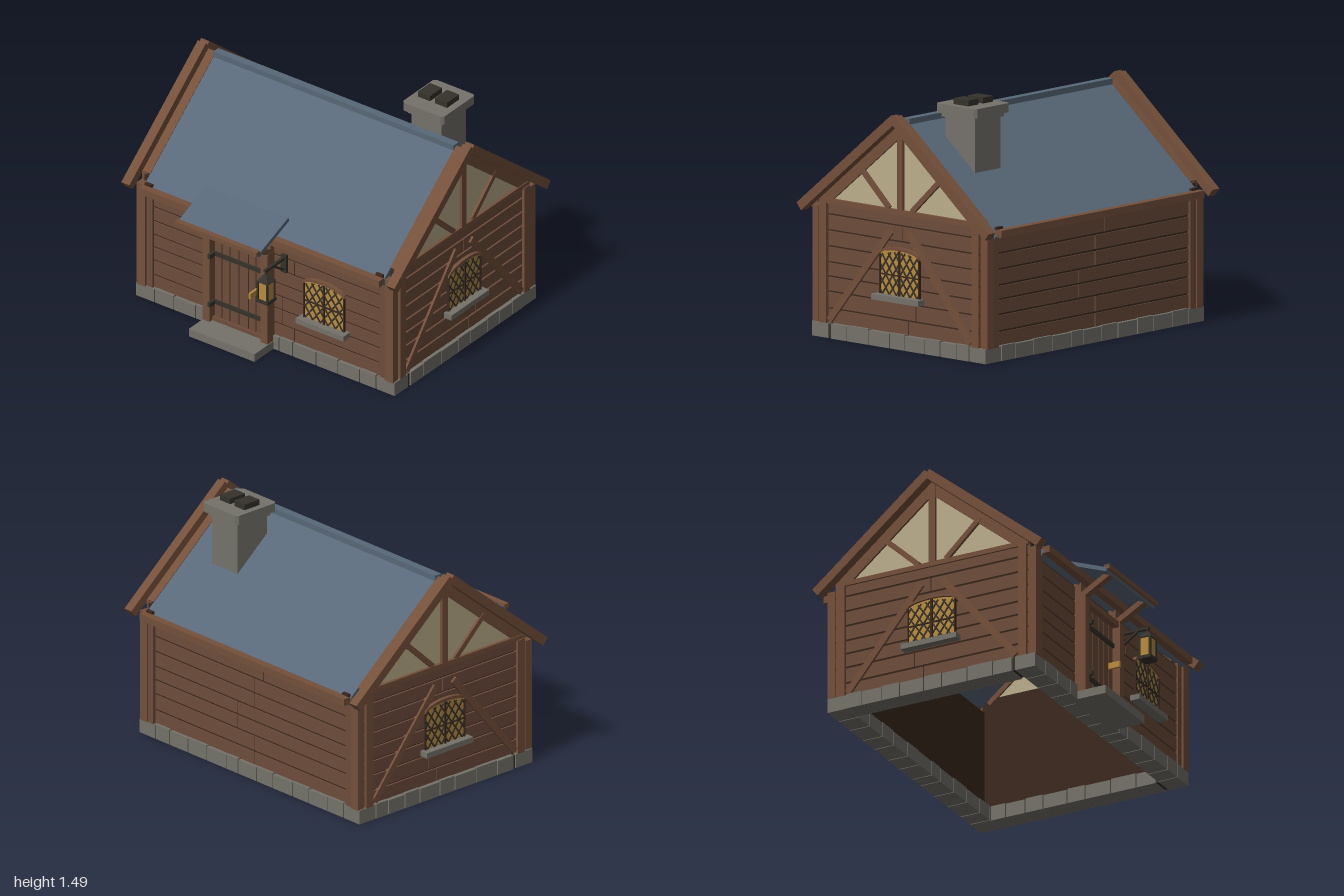
import * as THREE from 'three';

const mat = (name, color) => Object.assign(new THREE.MeshStandardMaterial({ color }), { name });
const M = {
  slate: mat('slate blue', 0x586878),
  plank: mat('plank brown', 0x6d4c3a),
  timber: mat('timber brown', 0x74503b),
  gap: mat('dark wood', 0x3b291f),
  stone: mat('stone grey', 0x74726a),
  plaster: mat('cream plaster', 0xbcae8c),
  glass: mat('amber glass', 0xb98a3e),
  iron: mat('black iron', 0x35322b),
};
const MID = -0.09;                       // z of the ridge
const SLOPE = Math.atan(0.816);          // roof pitch

function group(name, parent) {
  const g = new THREE.Group();
  g.name = name;
  parent.add(g);
  return g;
}
function add(parent, name, geo, material, x = 0, y = 0, z = 0) {
  const m = new THREE.Mesh(geo, material);
  m.name = name;
  m.position.set(x, y, z);
  parent.add(m);
  return m;
}
// box given by its extents on each axis
function box(parent, name, material, x0, x1, y0, y1, z0, z1) {
  return add(parent, name, new THREE.BoxGeometry(x1 - x0, y1 - y0, z1 - z0), material,
    (x0 + x1) / 2, (y0 + y1) / 2, (z0 + z1) / 2);
}
// beam lying in a plane of constant x, between two (z, y) points
function beam(parent, name, material, x, w, z1, y1, z2, y2, t) {
  const m = add(parent, name, new THREE.BoxGeometry(w, t, Math.hypot(z2 - z1, y2 - y1)), material,
    x, (y1 + y2) / 2, (z1 + z2) / 2);
  m.rotation.x = Math.atan2(y1 - y2, z2 - z1);
  return m;
}
// pitched slab hanging below the roof line that starts at height top over the ridge
function pitched(parent, name, material, side, x, w, top, t, s0, s1) {
  const c = Math.cos(SLOPE), s = Math.sin(SLOPE);
  const at = (d) => [MID + side * (d * c - s * t / 2), top - d * s - c * t / 2];
  return beam(parent, name, material, x, w, ...at(s0), ...at(s1), t);
}

// horizontal boards facing local +z, some rows split by a joint
function plankWall(parent, name, width, rows, joints) {
  const g = group(name, parent), gap = 0.006;
  for (let i = 0; i + 1 < rows.length; i++) {
    const cuts = [-width / 2, ...(joints[i] === undefined ? [] : [joints[i]]), width / 2];
    for (let k = 0; k + 1 < cuts.length; k++)
      box(g, 'plank', M.plank, cuts[k] + gap / 2, cuts[k + 1] - gap / 2,
        rows[i] + gap, rows[i + 1] - gap, -0.015, 0);
  }
  return g;
}

// arched leaded window facing local +z, standing on y = 0
function windowUnit(parent, hw) {
  const g = group('window', parent), side = 0.235, rise = 0.035;
  const arch = (x, r = rise, w = hw) => side + r * Math.sqrt(Math.max(0, 1 - (x / w) ** 2));
  const edge = [];
  for (let i = 0; i <= 12; i++) edge.push(-Math.cos(i / 12 * Math.PI));
  const pane = new THREE.Shape([[-hw, 0], ...edge.map((e) => [e * hw, arch(e * hw)]), [hw, 0]]
    .map((p) => new THREE.Vector2(...p)));
  add(g, 'glass', new THREE.ExtrudeGeometry(pane, { depth: 0.008, bevelEnabled: false }), M.glass);
  // arched head trim
  const ow = hw + 0.012;
  const head = new THREE.Shape([
    ...edge.map((e) => [e * ow, arch(e * ow, rise + 0.02, ow)]),
    ...edge.slice().reverse().map((e) => [e * hw, arch(e * hw)]),
  ].map((p) => new THREE.Vector2(...p)));
  add(g, 'windowHead', new THREE.ExtrudeGeometry(head, { depth: 0.022, bevelEnabled: false }), M.timber);
  // diagonal lead bars clipped to the pane
  const run = 0.7;
  for (const dir of [-1, 1]) for (let c = -10; c <= 10; c++) {
    const ts = [];
    for (let t = 0; t <= 0.27; t += 0.004) {
      const x = dir * ((c + 0.5) * 0.055 + t * run);
      if (Math.abs(x) < hw && t < arch(x) - 0.012) ts.push(t);
    }
    if (ts.length < 3) continue;
    const a = ts[0], b = ts[ts.length - 1], xm = dir * ((c + 0.5) * 0.055 + (a + b) / 2 * run);
    const bar = add(g, 'leadBar', new THREE.BoxGeometry(0.009, (b - a) * Math.hypot(1, run), 0.006),
      M.iron, xm, (a + b) / 2, 0.01);
    bar.rotation.z = -dir * Math.atan(run);
  }
  box(g, 'mullion', M.gap, -0.006, 0.006, 0, side + rise, 0.005, 0.018);
  box(g, 'transom', M.gap, -hw, hw, 0.115, 0.123, 0.005, 0.016);
  for (const s of [-1, 1]) box(g, 'jamb', M.gap, s * hw - 0.004, s * hw + 0.004, 0, side, 0, 0.016);
  box(g, 'windowSill', M.stone, -hw - 0.03, hw + 0.03, -0.034, 0, -0.01, 0.055);
  return g;
}

export function createModel() {
  const model = new THREE.Group();
  model.name = 'cottage';

  // stone footing of separate blocks around an open floor
  const base = group('footing', model);
  const xs = [-0.95, -0.81, -0.67, -0.51, -0.37, -0.2, -0.06, 0.1, 0.2, 0.37, 0.53, 0.69, 0.81, 0.95];
  const zs = [-0.78, -0.65, -0.55, -0.42, -0.3, -0.14, -0.02, 0.15, 0.32, 0.45, 0.6];
  for (let i = 0; i + 1 < xs.length; i++) for (const [a, b] of [[0.47, 0.6], [-0.78, -0.65]])
    box(base, 'footingStone', M.stone, xs[i] + 0.003, xs[i + 1] - 0.003, 0, 0.088 + 0.005 * (i % 2), a, b);
  for (let i = 1; i + 2 < zs.length; i++) for (const s of [-1, 1])
    box(base, 'footingStone', M.stone, s * 0.885 - 0.065, s * 0.885 + 0.065, 0, 0.088 + 0.005 * (i % 2), zs[i] + 0.003, zs[i + 1] - 0.003);
  for (const s of [-1, 1]) {
    box(base, 'mortar', M.iron, -0.94, 0.94, 0.004, 0.08, MID + s * 0.62 - 0.055, MID + s * 0.62 + 0.055);
    box(base, 'mortar', M.iron, s * 0.885 - 0.055, s * 0.885 + 0.055, 0.004, 0.08, -0.7, 0.52);
  }

  // wall core, showing as dark seams between the boards
  for (const s of [-1, 1]) {
    box(model, 'longWallCore', M.gap, -0.91, 0.91, 0.08, 0.74, MID + s * 0.65 - 0.015, MID + s * 0.65 + 0.015);
    box(model, 'endWallCore', M.gap, s * 0.9 - 0.015, s * 0.9 + 0.015, 0.08, 0.82, -0.74, 0.56);
  }
  const rows = [0.085, 0.175, 0.275, 0.365, 0.45, 0.545, 0.64, 0.735];
  plankWall(model, 'frontPlanks', 1.82, rows, [0.2, 0.11, 0.11, , , 0.2]).position.z = 0.582;
  const back = plankWall(model, 'backPlanks', 1.82, rows, [0.02, 0.02, -0.12, -0.12, 0.02, 0.02, 0.1]);
  back.position.z = -0.762;
  back.rotation.y = Math.PI;

  // corner posts on the long walls
  for (const s of [-1, 1]) for (const f of [-1, 1]) {
    const z = MID + f * 0.67;
    box(model, 'cornerPost', M.timber, s * 0.908 - 0.03, s * 0.908 + 0.03, 0.085, 0.78, z - 0.025, z + 0.025);
    box(model, 'innerPost', M.plank, s * 0.853 - 0.023, s * 0.853 + 0.023, 0.085, 0.75, z - 0.02, z + 0.012);
  }

  // end walls with half-timbered gables
  for (const s of [-1, 1]) {
    const end = group(s > 0 ? 'leftEnd' : 'rightEnd', model);
    const boards = plankWall(end, 'endPlanks', 1.3, [...rows, 0.81], [s * 0.06, s * 0.12, , , , , s * 0.01]);
    boards.position.set(s * 0.928, 0, MID);
    boards.rotation.y = s * Math.PI / 2;
    const tri = new THREE.Shape([[-0.62, 0.8], [0.62, 0.8], [0, 1.31]].map((p) => new THREE.Vector2(...p)));
    const panel = add(end, 'gablePanel', new THREE.ExtrudeGeometry(tri, { depth: 0.03, bevelEnabled: false }),
      M.plaster, s * 0.89, 0, MID);
    panel.rotation.y = s * Math.PI / 2;
    const bar = (name, y0, y1, hw, out) =>
      box(end, name, M.timber, s * 0.92 - 0.02, s * 0.92 + out * 0.02 + 0.0, y0, y1, MID - hw, MID + hw);
    bar('tieBeam', 0.8, 0.83, 0.64, 1);
    bar('kingPost', 0.83, 1.34, 0.022, 1);
    for (const f of [-1, 1]) {
      const z = MID + f * 0.605;
      box(end, 'sidePost', M.timber, s * 0.925 - 0.022, s * 0.925 + 0.022, 0.085, 0.805, z - 0.028, z + 0.028);
      beam(end, 'wallBrace', M.timber, s * 0.928, 0.03, MID + f * 0.56, 0.105, MID + f * 0.07, 0.7, 0.042);
      beam(end, 'gableBrace', M.timber, s * 0.92, 0.036, MID + f * 0.09, 0.83, MID + f * 0.32, 1.045, 0.032);
      pitched(end, 'rafter', M.timber, f, s * 0.906, 0.056, 1.36, 0.075, 0, 0.83);
      pitched(end, 'bargeBoard', M.timber, f, s * 0.97, 0.06, 1.413, 0.055, 0.02, 0.985);
      box(end, 'rafterPeg', M.gap, s * 0.845 - 0.025, s * 0.845 + 0.025, 0.785, 0.807, MID + f * 0.7 - 0.01, MID + f * 0.7 + 0.01);
    }
    const win = windowUnit(end, 0.155);
    win.position.set(s * 0.929, 0.318, MID);
    win.rotation.y = s * Math.PI / 2;
  }

  // roof
  for (const f of [-1, 1]) {
    pitched(model, 'roofSlope', M.slate, f, 0, 1.76, 1.355, 0.04, 0, 0.93);
    const z = MID + f * 0.729;
    box(model, 'fascia', M.timber, -0.88, 0.88, 0.75, 0.793, z - 0.024, z + 0.024);
  }
  box(model, 'ridgeCap', M.slate, -0.88, 0.88, 1.335, 1.37, MID - 0.025, MID + 0.025);

  // chimney
  const chimney = group('chimney', model);
  box(chimney, 'stack', M.stone, 0.46, 0.68, 0.95, 1.38, -0.45, -0.215);
  box(chimney, 'collar', M.stone, 0.445, 0.695, 1.37, 1.396, -0.465, -0.2);
  const slab = new THREE.Shape([[-0.15, -0.145], [-0.135, -0.16], [0.135, -0.16], [0.15, -0.145],
    [0.15, 0.145], [0.135, 0.16], [-0.135, 0.16], [-0.15, 0.145]].map((p) => new THREE.Vector2(...p)));
  add(chimney, 'chimneyCap', new THREE.ExtrudeGeometry(slab, { depth: 0.055, bevelEnabled: false }),
    M.stone, 0.57, 1.395, -0.332).rotation.x = -Math.PI / 2;
  for (const x of [0.505, 0.63]) box(chimney, 'flue', M.iron, x - 0.044, x + 0.044, 1.44, 1.485, -0.393, -0.275);

  // door, frame and step
  const door = group('door', model);
  box(door, 'doorBack', M.gap, -0.37, 0, 0.06, 0.64, 0.57, 0.592);
  const cuts = [-0.365, -0.31, -0.25, -0.185, -0.115, -0.06, -0.005];
  for (let i = 0; i < 6; i++)
    box(door, 'doorPlank', M.plank, cuts[i] + 0.004, cuts[i + 1] - 0.004, 0.075, 0.625, 0.59, 0.61);
  for (const y of [0.18, 0.51]) box(door, 'hingeStrap', M.iron, -0.36, -0.005, y - 0.014, y + 0.014, 0.61, 0.62);
  for (const y of [0.18, 0.51]) box(door, 'hingePin', M.iron, -0.372, -0.352, y - 0.014, y + 0.014, 0.6, 0.67);
  box(door, 'handle', M.glass, -0.06, -0.045, 0.34, 0.378, 0.61, 0.685);
  for (const x of [-0.395, 0.03]) box(door, 'doorPost', M.timber, x - 0.025, x + 0.025, 0.045, 0.66, 0.57, 0.652);
  box(door, 'lintel', M.timber, -0.42, 0.055, 0.63, 0.665, 0.57, 0.645);
  box(door, 'threshold', M.plank, -0.37, 0.005, 0.045, 0.075, 0.58, 0.625);
  box(model, 'doorStep', M.stone, -0.42, 0.06, 0, 0.052, 0.56, 0.785);

  // porch canopy
  const porch = group('porch', model);
  beam(porch, 'porchRoof', M.slate, -0.18, 0.6, 0.53, 0.877, 0.825, 0.765, 0.025);
  box(porch, 'porchBeam', M.timber, -0.48, 0.12, 0.768, 0.797, 0.81, 0.845);
  for (const x of [-0.395, 0.03]) {
    beam(porch, 'porchBracket', M.timber, x, 0.045, 0.6, 0.655, 0.815, 0.778, 0.035);
    box(porch, 'bracketPost', M.timber, x - 0.022, x + 0.022, 0.66, 0.75, 0.57, 0.62);
  }

  // front window
  windowUnit(model, 0.145).position.set(0.432, 0.305, 0.592);

  // hanging lantern on an iron bracket
  const lantern = group('lantern', model), lx = 0.132, lz = 0.768;
  box(lantern, 'wallPlate', M.iron, lx - 0.02, lx + 0.02, 0.55, 0.67, 0.58, 0.6);
  box(lantern, 'arm', M.iron, lx - 0.009, lx + 0.009, 0.638, 0.656, 0.59, 0.78);
  beam(lantern, 'armBrace', M.iron, lx, 0.014, 0.6, 0.57, 0.7, 0.642, 0.014);
  box(lantern, 'hanger', M.iron, lx - 0.006, lx + 0.006, 0.61, 0.645, lz - 0.006, lz + 0.006);
  add(lantern, 'lanternRoof', new THREE.CylinderGeometry(0.014, 0.06, 0.045, 4).rotateY(Math.PI / 4).toNonIndexed(),
    M.iron, lx, 0.598, lz).geometry.computeVertexNormals();
  box(lantern, 'lanternGlass', M.glass, lx - 0.033, lx + 0.033, 0.455, 0.575, lz - 0.033, lz + 0.033);
  box(lantern, 'lanternBase', M.iron, lx - 0.043, lx + 0.043, 0.438, 0.458, lz - 0.043, lz + 0.043);
  for (const a of [-1, 1]) for (const b of [-1, 1]) box(lantern, 'lanternPost', M.iron,
    lx + a * 0.034 - 0.006, lx + a * 0.034 + 0.006, 0.45, 0.58, lz + b * 0.034 - 0.006, lz + b * 0.034 + 0.006);

  return model;
}
